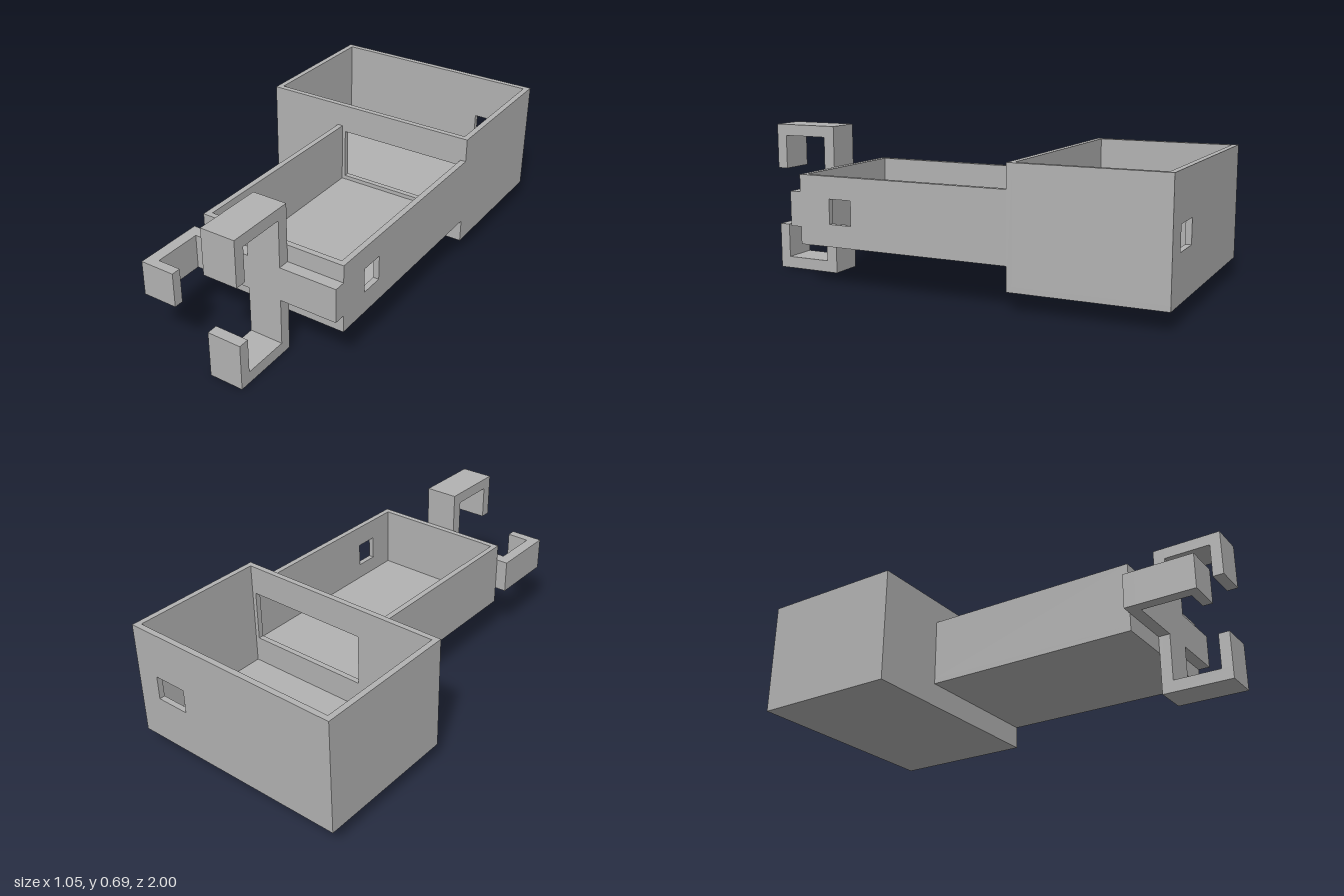
import * as THREE from 'three';

const WALL = 0.026;

export function createModel() {
  const model = new THREE.Group();
  const grey = new THREE.MeshStandardMaterial({ color: 0xb2b2b2 });
  grey.name = 'grey plastic';

  function add(parent, name, geometry) {
    const mesh = new THREE.Mesh(geometry, grey);
    mesh.name = name;
    parent.add(mesh);
  }

  function group(name) {
    const g = new THREE.Group();
    g.name = name;
    model.add(g);
    return g;
  }

  // Box given by its limits on each axis
  function block(parent, name, [x0, x1], [y0, y1], [z0, z1]) {
    const g = new THREE.BoxGeometry(x1 - x0, y1 - y0, z1 - z0);
    g.translate((x0 + x1) / 2, (y0 + y1) / 2, (z0 + z1) / 2);
    add(parent, name, g);
  }

  // Rectangular plate with a rectangular window, WALL thick along +z
  function windowPlate([u0, u1], [v0, v1], [a0, a1], [b0, b1]) {
    const shape = new THREE.Shape();
    shape.moveTo(u0, v0).lineTo(u1, v0).lineTo(u1, v1).lineTo(u0, v1).closePath();
    const hole = new THREE.Path();
    hole.moveTo(a0, b0).lineTo(a0, b1).lineTo(a1, b1).lineTo(a1, b0).closePath();
    shape.holes.push(hole);
    return new THREE.ExtrudeGeometry(shape, { depth: WALL, bevelEnabled: false });
  }

  // Large open tray at the back
  const big = group('largeTray');
  const bx = [-0.525, 0.525], by = [0.083, 0.61], bz = [-1, -0.32];
  const bFloor = by[0] + WALL;
  const bigInnerZ = [bz[0] + WALL, bz[1] - WALL];
  block(big, 'largeFloor', bx, [by[0], bFloor], bz);
  block(big, 'largeLeftWall', [bx[1] - WALL, bx[1]], [bFloor, by[1]], bigInnerZ);
  block(big, 'largeRightWall', [bx[0], bx[0] + WALL], [bFloor, by[1]], bigInnerZ);
  add(big, 'largeBackWall',
    windowPlate(bx, [bFloor, by[1]], [0.255, 0.413], [0.29, 0.40]).translate(0, 0, bz[0]));
  add(big, 'largeFrontWall',
    windowPlate(bx, [bFloor, by[1]], [-0.118, 0.48], [0.235, 0.475]).translate(0, 0, bz[1] - WALL));

  // Narrow tray joined to the large one through the wide opening
  const small = group('narrowTray');
  const sx = [-0.16, 0.525], sy = [0.19, 0.502], sz = [-0.32, 0.682];
  const sFloor = sy[0] + WALL;
  block(small, 'narrowFloor', sx, [sy[0], sFloor], sz);
  block(small, 'narrowRightWall', [sx[0], sx[0] + WALL], [sFloor, sy[1]], sz);
  block(small, 'narrowFrontWall', [sx[0] + WALL, sx[1] - WALL], [sFloor, sy[1]], [sz[1] - WALL, sz[1]]);
  add(small, 'narrowLeftWall',
    windowPlate(sz, [sFloor, sy[1]], [0.42, 0.53], [0.29, 0.402])
      .rotateY(-Math.PI / 2).translate(sx[1], 0, 0));

  // Clip cross on the front with three hooked arms
  const clip = group('frontClip');
  const cz = [0.682, 0.735], armX = [0.105, 0.262], barY = [0.268, 0.424];
  block(clip, 'crossBarRight', [-0.215, armX[0]], barY, cz);
  block(clip, 'crossBarLeft', [armX[1], 0.525], barY, cz);
  block(clip, 'uprightBar', armX, [0, 0.69], cz);
  block(clip, 'topArm', armX, [0.638, 0.69], [cz[1], 1]);
  block(clip, 'topHook', armX, [0.482, 0.638], [0.95, 1]);
  block(clip, 'bottomArm', armX, [0, 0.054], [cz[1], 1]);
  block(clip, 'bottomHook', armX, [0.054, 0.212], [0.95, 1]);
  block(clip, 'sideArm', [-0.215, -0.163], barY, [cz[1], 1]);
  block(clip, 'sideHook', [-0.163, -0.056], barY, [0.957, 1]);

  return model;
}
